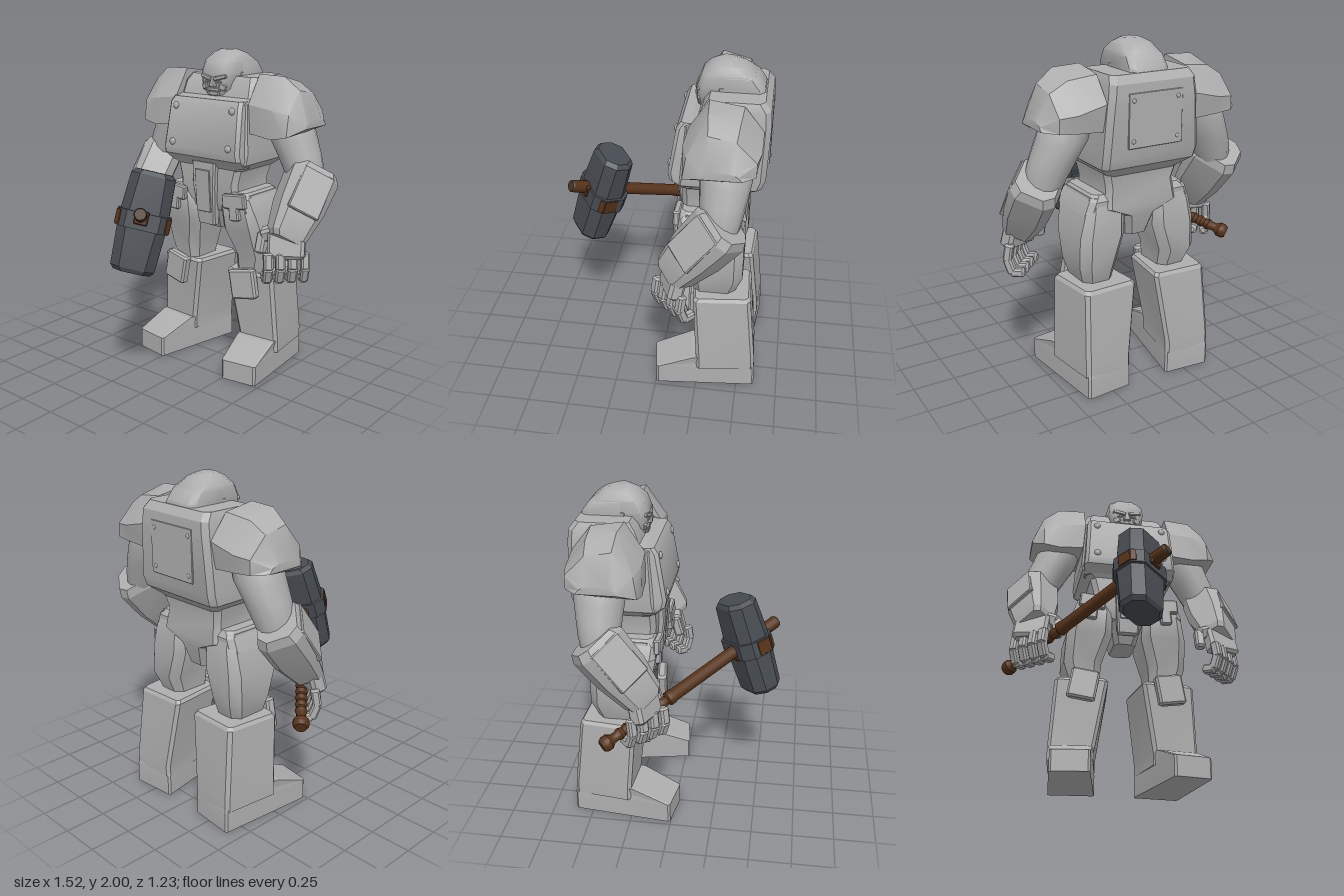
import * as THREE from 'three';
import { toCreasedNormals } from 'three/addons/utils/BufferGeometryUtils.js';

const V = (x, y, z) => new THREE.Vector3(x, y, z);
const material = (name, color) => {
  const m = new THREE.MeshStandardMaterial({ color });
  m.name = name;
  return m;
};

// Skin a list of equal-length rings and cap both ends
function loft(rings, crease = 0.5) {
  const n = rings[0].length, idx = [], last = (rings.length - 1) * n;
  for (let i = 0; i < rings.length - 1; i++)
    for (let j = 0; j < n; j++) {
      const a = i * n + j, b = i * n + (j + 1) % n;
      idx.push(a, b, b + n, a, b + n, a + n);
    }
  for (let j = 1; j < n - 1; j++) idx.push(0, j + 1, j, last, last + j, last + j + 1);
  const g = new THREE.BufferGeometry();
  g.setAttribute('position', new THREE.Float32BufferAttribute(rings.flat(2), 3));
  g.setIndex(idx);
  return toCreasedNormals(g, crease);
}

// Cut the corners of a ring by distance c
function chamfer(ring, c) {
  return ring.flatMap((p, i) => {
    const v = V(...p);
    return [ring.at(i - 1), ring[(i + 1) % ring.length]].map(q => {
      const d = V(...q).sub(v);
      return v.clone().addScaledVector(d, Math.min(0.45, c / d.length())).toArray();
    });
  });
}
const quad = (y, pts, c) => chamfer(pts.map(([x, z]) => [x, y, z]), c);
const rect = (y, x0, x1, z0, z1, c = 0.03) => quad(y, [[x0, z1], [x1, z1], [x1, z0], [x0, z0]], c);
const sym = (y, h, z0, z1, c) => rect(y, -h, h, z0, z1, c);
const oval = (y, cx, cz, rx, rz) => Array.from({ length: 14 }, (_, i) => {
  const a = i / 14 * Math.PI * 2;
  return [cx + rx * Math.sin(a), y, cz + rz * Math.cos(a)];
});

// Box with small bevels
function box(w, h, d, x, y, z, rx = 0, ry = 0, rz = 0) {
  const b = Math.min(w, h, d) * 0.2;
  const g = loft([
    sym(-h / 2, w / 2 - b, -d / 2 + b, d / 2 - b, b), sym(-h / 2 + b, w / 2, -d / 2, d / 2, b),
    sym(h / 2 - b, w / 2, -d / 2, d / 2, b), sym(h / 2, w / 2 - b, -d / 2 + b, d / 2 - b, b)], 0.3);
  return g.rotateX(rx).rotateY(ry).rotateZ(rz).translate(x, y, z);
}

// Move a geometry built up the y axis so that it runs between two points
function along(g, from, to) {
  const d = to.clone().sub(from).normalize();
  return g.applyQuaternion(new THREE.Quaternion().setFromUnitVectors(V(0, 1, 0), d))
    .translate(from.x, from.y, from.z);
}
const bone = (a, b, w, d, yaw = 0) => {
  const l = a.distanceTo(b);
  return along(box(w, l + 0.02, d, 0, l / 2, 0, 0, yaw), a, b);
};
const rivet = (x, y, z, r) => new THREE.SphereGeometry(r, 12, 8).scale(1, 1, 0.6).translate(x, y, z);

function mirrored(src) {
  const g = src.index ? src.toNonIndexed() : src.clone();
  for (const name of ['position', 'normal']) {
    const a = g.attributes[name].array;
    for (let i = 0; i < a.length; i += 9)
      for (let k = 0; k < 3; k++) [a[i + 3 + k], a[i + 6 + k]] = [a[i + 6 + k], a[i + 3 + k]];
    for (let i = 0; i < a.length; i += 3) a[i] *= -1;
  }
  return g;
}

export function createModel() {
  const model = new THREE.Group();
  model.name = 'armouredWarrior';
  const armour = material('armour grey', 0xaeaeae);
  const iron = material('hammer iron', 0x474c52);
  const wood = material('handle brown', 0x563218);
  const darkWood = material('handle end brown', 0x4a3624);
  const add = (name, g, m = armour) => {
    const mesh = new THREE.Mesh(g, m);
    mesh.name = name;
    model.add(mesh);
  };
  const pair = (name, g) => {
    add(name + 'Left', g);
    add(name + 'Right', mirrored(g));
  };

  // Torso
  add('torso', loft([
    sym(1.27, 0.22, -0.49, -0.14), sym(1.34, 0.3, -0.575, -0.09), sym(1.4, 0.305, -0.595, -0.1),
    sym(1.7, 0.282, -0.605, -0.12), sym(1.725, 0.278, -0.605, -0.2), sym(1.8, 0.27, -0.6, -0.225),
    sym(1.845, 0.25, -0.565, -0.26)]));
  add('chestPlate', loft([
    sym(1.315, 0.28, -0.2, -0.11, 0.02), sym(1.365, 0.295, -0.2, -0.055, 0.02),
    sym(1.41, 0.29, -0.2, -0.045, 0.02), sym(1.68, 0.275, -0.2, -0.09, 0.02),
    sym(1.715, 0.265, -0.2, -0.115, 0.02)]));
  add('backPlate', box(0.34, 0.3, 0.012, 0, 1.6, -0.602));
  for (const y of [1.44, 1.66]) pair('chestRivet', rivet(0.215, y, -0.045 - (y - 1.41) * 0.167, 0.022));
  for (const y of [1.49, 1.71]) pair('backRivet', rivet(0.14, y, -0.606, 0.013));

  // Waist and pelvis
  add('waist', loft([
    sym(0.89, 0.07, -0.45, -0.22), sym(1.02, 0.1, -0.49, -0.15), sym(1.08, 0.235, -0.5, -0.13),
    sym(1.2, 0.22, -0.48, -0.12), sym(1.32, 0.25, -0.5, -0.12)]));
  add('frontTabard', loft([
    sym(0.93, 0.065, -0.17, -0.12, 0.01), sym(1.18, 0.085, -0.17, -0.085, 0.01), sym(1.33, 0.09, -0.17, -0.085, 0.01)]));
  add('tabardPanel', box(0.11, 0.27, 0.012, 0, 1.15, -0.088, 0.08));

  // Head and face
  add('head', loft([
    sym(1.725, 0.075, -0.42, -0.2, 0.025), sym(1.775, 0.105, -0.5, -0.185, 0.03),
    sym(1.86, 0.117, -0.53, -0.18, 0.035), sym(1.93, 0.113, -0.5, -0.205, 0.04),
    sym(1.975, 0.095, -0.44, -0.25, 0.045), sym(2.0, 0.05, -0.38, -0.29, 0.03)], 0.9));
  add('hoodBack', loft([
    sym(1.78, 0.12, -0.57, -0.3), sym(1.86, 0.12, -0.555, -0.3),
    sym(1.92, 0.115, -0.51, -0.3), sym(1.96, 0.09, -0.45, -0.32)], 0.8));
  pair('brow', box(0.09, 0.025, 0.03, 0.05, 1.838, -0.186, 0, 0.15, 0.25));
  pair('eye', box(0.035, 0.012, 0.012, 0.045, 1.812, -0.182));
  pair('cheek', box(0.05, 0.04, 0.03, 0.065, 1.782, -0.195, 0, 0.3, -0.3));
  pair('ear', box(0.015, 0.07, 0.05, 0.112, 1.83, -0.33));
  add('nose', loft([sym(1.782, 0.024, -0.2, -0.165, 0.008), sym(1.797, 0.022, -0.2, -0.163, 0.008),
    sym(1.84, 0.01, -0.2, -0.174, 0.004)]));
  add('moustache', box(0.1, 0.022, 0.025, 0, 1.765, -0.189));
  add('chin', box(0.08, 0.03, 0.03, 0, 1.74, -0.198));

  // Shoulder guards, lofted outward
  const pad = [
    [0.28, [1.87, -0.27], [1.7, -0.16], [1.53, -0.16], [1.55, -0.55], [1.7, -0.57], [1.84, -0.46]],
    [0.45, [1.865, -0.28], [1.68, -0.15], [1.51, -0.15], [1.56, -0.55], [1.66, -0.57], [1.82, -0.45]],
    [0.55, [1.79, -0.29], [1.66, -0.18], [1.53, -0.16], [1.57, -0.55], [1.65, -0.55], [1.76, -0.44]],
    [0.62, [1.62, -0.31], [1.6, -0.27], [1.575, -0.25], [1.575, -0.48], [1.6, -0.46], [1.62, -0.42]]];
  pair('shoulderGuard', loft(pad.map(([x, ...pts]) => pts.map(([y, z]) => [x, y, z]))));

  // Arms
  pair('upperArm', loft([
    oval(1.22, 0.57, -0.37, 0.1, 0.1), oval(1.32, 0.54, -0.375, 0.125, 0.12),
    oval(1.4, 0.505, -0.38, 0.135, 0.13), oval(1.5, 0.455, -0.385, 0.145, 0.145),
    oval(1.62, 0.42, -0.385, 0.14, 0.14), oval(1.7, 0.35, -0.38, 0.1, 0.1)], 1));
  const elbow = V(0.595, 1.295, -0.4), wrist = V(0.585, 0.91, -0.1);
  const forearm = g => along(g.rotateY(0.65), elbow, wrist);
  pair('gauntlet', forearm(loft([
    rect(-0.01, -0.11, 0.115, -0.13, 0.13, 0.05), rect(0.04, -0.13, 0.13, -0.15, 0.15, 0.05),
    rect(0.24, -0.125, 0.125, -0.14, 0.14, 0.045), rect(0.43, -0.085, 0.09, -0.11, 0.11, 0.03),
    rect(0.46, -0.07, 0.075, -0.09, 0.09, 0.03)], 0.4)));
  pair('gauntletPlate', forearm(box(0.03, 0.27, 0.2, 0.12, 0.16, 0)));

  // Hands with curled fingers
  pair('palm', bone(V(0.59, 0.98, -0.14), V(0.61, 0.84, -0.11), 0.22, 0.09, Math.PI / 4));
  for (let i = 0; i < 4; i++) {
    const t = i / 3, size = i === 0 ? 0.05 : 0.056;
    const p = [V(0.69 - 0.155 * t, 0.86, -0.185 + 0.155 * t)];
    for (const [out, up] of [[0.01, -0.085], [-0.02, -0.075], [-0.045, 0.005]])
      p.push(p.at(-1).clone().add(V(out, up, out)));
    for (let k = 0; k < 3; k++) pair('finger', bone(p[k], p[k + 1], size, size, Math.PI / 4));
  }
  pair('thumbBase', bone(V(0.52, 0.98, -0.12), V(0.45, 0.95, -0.1), 0.08, 0.08));
  pair('thumbTip', bone(V(0.45, 0.96, -0.1), V(0.45, 0.85, -0.07), 0.06, 0.06));

  // Legs
  pair('thigh', loft([
    rect(0.62, 0.16, 0.34, -0.45, -0.21, 0.04), rect(0.75, 0.15, 0.385, -0.5, -0.19, 0.05),
    rect(0.92, 0.095, 0.38, -0.5, -0.13, 0.05), rect(1.06, 0.1, 0.345, -0.49, -0.105, 0.04),
    rect(1.15, 0.14, 0.31, -0.46, -0.13, 0.03)], 0.6));
  pair('hipGuard', loft([
    rect(1.05, 0.15, 0.35, -0.475, -0.11, 0.03), rect(1.13, 0.15, 0.32, -0.475, -0.1, 0.03),
    rect(1.165, 0.16, 0.29, -0.45, -0.13, 0.03)], 0.4));
  pair('hipBar', box(0.165, 0.09, 0.04, 0.232, 1.115, -0.1, 0, 0, 0.1));
  pair('hipTab', box(0.07, 0.13, 0.04, 0.235, 1.06, -0.1, 0, 0, 0.1));
  const shinTop = [[0.11, -0.19], [0.44, -0.22], [0.4, -0.56], [0.065, -0.545]];
  const shinLow = [[0.185, -0.23], [0.465, -0.25], [0.42, -0.605], [0.125, -0.59]];
  const shinLid = shinTop.map(([x, z]) => [0.25 + (x - 0.25) * 0.92, -0.38 + (z + 0.38) * 0.92]);
  pair('shin', loft([quad(0.13, shinLow, 0.02), quad(0.2, shinLow, 0.02),
    quad(0.625, shinTop, 0.02), quad(0.645, shinLid, 0.02)], 0.3));
  pair('kneePad', box(0.175, 0.19, 0.06, 0.27, 0.58, -0.16, 0, 0.12, 0.18));

  // Feet, turned outward
  const sole = [[0.245, 0.03], [0.475, -0.005], [0.415, -0.61], [0.125, -0.585]];
  const instep = [[0.2, -0.19], [0.46, -0.22], [0.405, -0.59], [0.14, -0.57]];
  pair('foot', loft([quad(0, sole, 0.012), quad(0.125, sole, 0.012), quad(0.21, instep, 0.012)], 0.2));

  // Hammer handle with a ribbed grip, pommel and end cap
  const butt = V(-0.735, 0.705, -0.345), tip = V(0.09, 1.155, 0.575), length = butt.distanceTo(tip);
  const profile = [[0, 0], [0.034, 0], [0.046, 0.02], [0.046, 0.05], [0.028, 0.075]];
  for (let y = 0.1; y < 0.44; y += 0.05) profile.push([0.027, y], [0.036, y + 0.025]);
  profile.push([0.027, 0.46], [0.043, 0.47], [0.043, 0.5], [0.038, 0.515], [0.038, length - 0.02]);
  const turned = pts => along(toCreasedNormals(new THREE.LatheGeometry(
    pts.map(p => new THREE.Vector2(...p)), 14), 0.6), butt, tip);
  add('hammerHandle', turned(profile), wood);
  add('handleEnd', turned([[0.038, length - 0.02], [0.038, length - 0.01], [0.032, length], [0, length]]), darkWood);

  // Hammer head, band and leather fittings
  const up = V(0.04, 0.95, -0.31).normalize(), grip = tip.clone().sub(butt).normalize();
  const fwd = grip.clone().addScaledVector(up, -grip.dot(up)).normalize();
  const frame = new THREE.Matrix4().makeBasis(V().crossVectors(up, fwd), up, fwd).setPosition(-0.038, 1.06, 0.414);
  add('hammerHead', loft([
    sym(-0.305, 0.11, -0.085, 0.08, 0.05), sym(-0.28, 0.13, -0.1, 0.095, 0.055),
    sym(0, 0.145, -0.11, 0.105, 0.055), sym(0.265, 0.13, -0.1, 0.095, 0.055),
    sym(0.29, 0.11, -0.085, 0.08, 0.05)], 0.4).applyMatrix4(frame), iron);
  add('hammerBand', loft([sym(-0.05, 0.157, -0.122, 0.115, 0.058),
    sym(0.05, 0.157, -0.122, 0.115, 0.058)], 0.3).applyMatrix4(frame), iron);
  for (const s of [-1, 1]) {
    add('hammerCollar', box(0.08, 0.08, 0.03, -0.01, s * 0.02, s * 0.115).applyMatrix4(frame), wood);
    add('leatherPatch', box(0.009, 0.085, 0.085, s * 0.157, 0, 0.015).applyMatrix4(frame), wood);
    add('leatherFold', box(0.035, 0.085, 0.009, s * 0.145, 0, 0.07, 0, s * 0.785).applyMatrix4(frame), wood);
  }

  return model;
}
